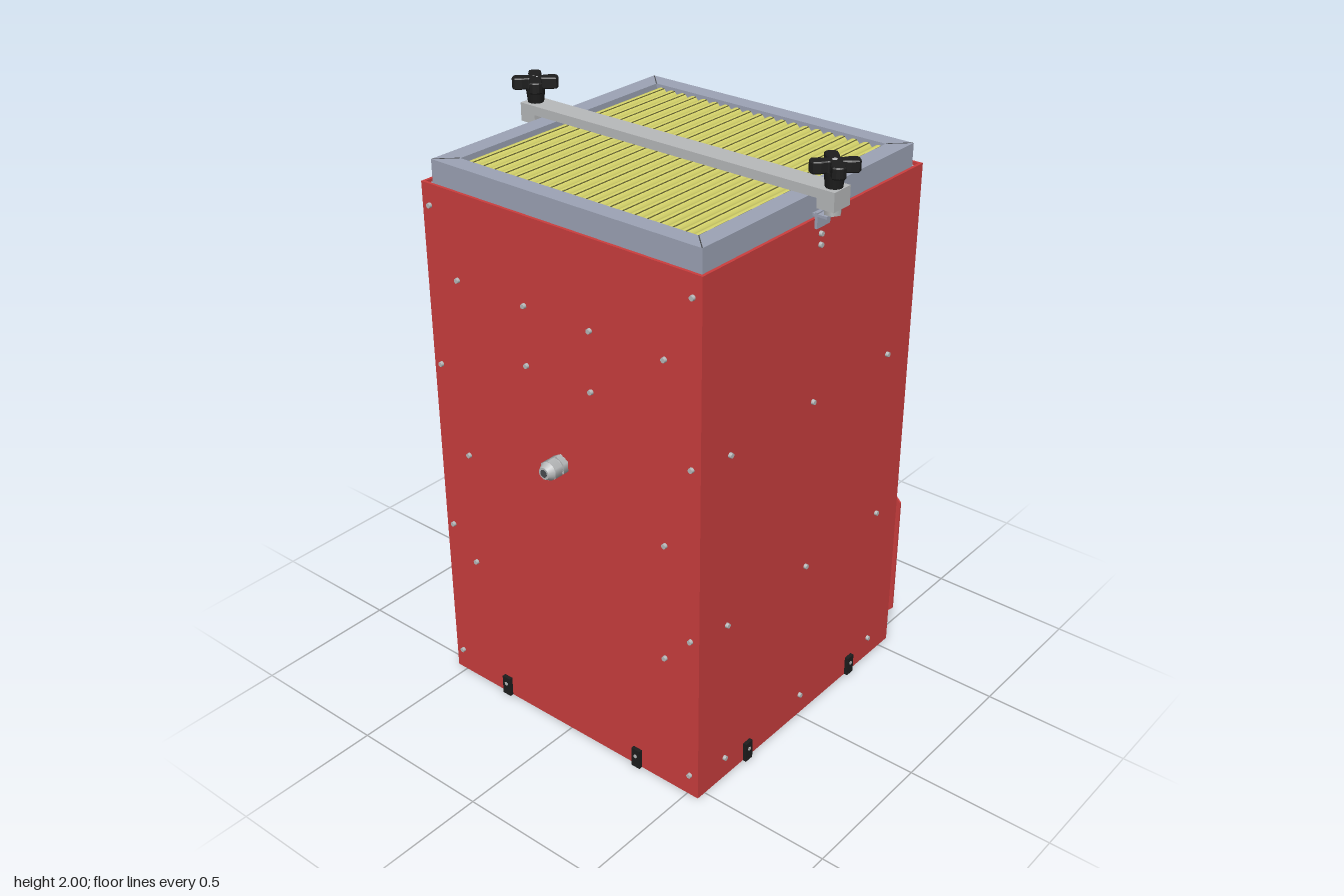
import * as THREE from 'three';

const mat = (name, color) => {
  const m = new THREE.MeshStandardMaterial({ color });
  m.name = name;
  return m;
};

export function createModel() {
  const red = mat('red paint', 0xcc3e3e);
  const steel = mat('blue grey steel', 0x9da4b6);
  const grey = mat('light grey metal', 0xb8babb);
  const black = mat('black plastic', 0x1d1d1d);
  const yellow = mat('yellow filter paper', 0xd8d66c);
  const olive = mat('filter fold', 0x6e6c36);
  const brass = mat('brass', 0xb9b24e);
  const dark = mat('dark grey', 0x4a4c50);

  const CX = 0.009, W = 1.088, D = 1.084, H = 1.82;
  const root = new THREE.Group();
  root.name = 'filterCabinet';

  const add = (name, geo, m, x = 0, y = 0, z = 0, parent = root) => {
    const mesh = new THREE.Mesh(geo, m);
    mesh.name = name;
    mesh.position.set(x, y, z);
    parent.add(mesh);
    return mesh;
  };
  const box = (name, m, w, h, d, x, y, z, parent) =>
    add(name, new THREE.BoxGeometry(w, h, d), m, x, y, z, parent);
  const cyl = (name, m, r1, r2, h, seg, x, y, z, parent) =>
    add(name, new THREE.CylinderGeometry(r1, r2, h, seg), m, x, y, z, parent);
  const rect = (P, w, d) => {
    const s = new P();
    s.moveTo(-w / 2, -d / 2);
    s.lineTo(w / 2, -d / 2);
    s.lineTo(w / 2, d / 2);
    s.lineTo(-w / 2, d / 2);
    s.closePath();
    return s;
  };
  // Rectangular ring standing on y
  const ring = (name, m, w, d, iw, id, h, y) => {
    const s = rect(THREE.Shape, w, d);
    s.holes.push(rect(THREE.Path, iw, id));
    const g = new THREE.ExtrudeGeometry(s, { depth: h, bevelEnabled: false });
    g.rotateX(-Math.PI / 2);
    return add(name, g, m, CX, y, 0);
  };
  // Group whose +z points out of a cabinet side; local x runs along the side
  const side = (name, angle) => {
    const g = new THREE.Group();
    g.name = name;
    const s = Math.round(Math.sin(angle)), c = Math.round(Math.cos(angle));
    g.position.set(CX + s * W / 2, 0, c * D / 2);
    g.rotation.y = angle;
    root.add(g);
    return g;
  };
  const screw = (parent, x, y, z = 0) => {
    cyl('screw', grey, 0.008, 0.009, 0.012, 10, x, y, z + 0.004, parent).rotation.x = Math.PI / 2;
  };

  // Cabinet walls, bottom flange and top flange
  ring('cabinetWalls', red, W, D, W - 0.02, D - 0.02, H, 0);
  ring('bottomFlange', red, W - 0.01, D - 0.01, 0.9, 0.9, 0.008, 0.001);
  ring('topFlange', steel, W - 0.02, D - 0.02, 0.9, 0.9, 0.01, 1.8);

  // Top filter: frame with mitred corners and folded paper
  ring('filterFrame', steel, 1.036, 1.04, 0.914, 0.914, 0.14, 1.747);
  for (const sx of [-1, 1]) for (const sz of [-1, 1]) {
    const seam = box('mitreSeam', dark, 0.084, 0.002, 0.003, CX + sx * 0.487, 1.887, sz * 0.488);
    seam.rotation.y = -sx * sz * Math.PI / 4;
  }
  box('filterBacking', olive, 0.92, 0.02, 0.92, CX, 1.84, 0);
  const folds = 20, pitch = 0.914 / folds;
  const foldGeo = new THREE.CylinderGeometry(pitch * 0.47, pitch * 0.47, 0.914, 12, 1, false);
  foldGeo.rotateZ(Math.PI / 2);
  for (let i = 0; i < folds; i++) {
    const z = -0.457 + (i + 0.5) * pitch;
    add('filterFold', foldGeo, yellow, CX, 1.856, z);
    box('filterCrease', olive, 0.914, 0.004, 0.003, CX, 1.875, z + pitch * 0.2);
  }

  // Underside: recessed frame, louvres and inner panel
  ring('lowerFrame', steel, W - 0.03, D - 0.03, 0.8, 0.8, 0.04, 0.12);
  box('lowerBacking', dark, 1.0, 0.01, 1.0, CX, 0.19, 0);
  box('innerPanel', steel, 0.98, 0.11, 0.02, CX, 0.066, 0.46);
  for (let i = 0; i < 9; i++) {
    const z = -0.36 + i * 0.09;
    const louvre = box('louvre', grey, 0.86, 0.008, 0.05, CX, 0.155, z);
    louvre.rotation.x = 0.35;
  }

  // Clamp bar with a knob, bolt and bracket at each end
  box('clampBar', grey, 0.08, 0.03, 1.22, 0.01, 1.903, 0);
  const lobes = new THREE.Shape();
  const n = 48;
  for (let i = 0; i <= n; i++) {
    const a = (i / n) * Math.PI * 2;
    const r = 0.047 + 0.025 * Math.tanh(-2.2 * Math.cos(4 * a));
    const px = r * Math.cos(a), py = r * Math.sin(a);
    if (i === 0) lobes.moveTo(px, py);
    else lobes.lineTo(px, py);
  }
  const lobeGeo = new THREE.ExtrudeGeometry(lobes, {
    depth: 0.029, bevelEnabled: true, bevelSize: 0.003, bevelThickness: 0.004, bevelSegments: 1,
  });
  lobeGeo.rotateX(-Math.PI / 2);
  for (const s of [-1, 1]) {
    const g = new THREE.Group();
    g.name = s > 0 ? 'frontClamp' : 'backClamp';
    g.position.set(0.01, 0, s * 0.58);
    root.add(g);
    add('knobHead', lobeGeo, black, 0, 1.967, 0, g);
    cyl('knobHub', black, 0.032, 0.026, 0.05, 20, 0, 1.942, 0, g);
    cyl('knobCap', grey, 0.01, 0.01, 0.002, 16, 0, 1.999, 0, g);
    box('barEnd', grey, 0.08, 0.06, 0.06, 0, 1.887, 0, g);
    cyl('bolt', grey, 0.014, 0.014, 0.06, 12, 0, 1.866, 0, g);
    cyl('nut', grey, 0.027, 0.027, 0.02, 6, 0, 1.846, 0, g);
    box('bracketShelf', steel, 0.066, 0.008, 0.05, 0, 1.832, -s * 0.022, g);
    box('bracketPlate', steel, 0.066, 0.05, 0.01, 0, 1.815, -s * 0.034, g);
  }

  // The four sides with their rivets and black floor clips
  const front = side('frontSide', 0);
  const left = side('leftSide', Math.PI / 2);
  const back = side('backSide', Math.PI);
  const right = side('rightSide', -Math.PI / 2);
  for (const s of [front, back, left, right]) for (const x of [-0.292, 0.292]) {
    box('floorClip', black, 0.034, 0.062, 0.014, x, 0.04, 0.006, s);
    box('floorClipFoot', black, 0.034, 0.008, 0.07, x, 0.004, -0.022, s);
    cyl('floorClipHole', grey, 0.007, 0.007, 0.003, 10, x, 0.045, 0.0135, s).rotation.x = Math.PI / 2;
  }
  for (const s of [front, back]) {
    for (const x of [-0.41, 0, 0.41]) for (const y of [1.21, 0.605, 0.08]) screw(s, x, y);
    for (const y of [1.765, 1.73]) screw(s, 0, y);
  }
  for (const x of [-0.41, 0, 0.41]) screw(left, x, 1.21);
  for (const x of [-0.51, 0.51]) for (const y of [1.75, 1.21, 0.605, 0.08]) screw(right, x, y);
  for (const x of [-0.13, 0.13]) for (const y of [1.53, 1.33]) screw(right, x, y);
  for (const x of [-0.41, 0.41]) for (const y of [1.53, 0.91, 0.495]) screw(right, x, y);

  // Small cover plate on the back
  box('backCover', red, 0.125, 0.28, 0.008, -0.47, 0.83, 0.004, back);
  for (const y of [0.935, 0.71]) screw(back, -0.47, y, 0.008);

  // Access door with cut corners, gasket and wing nuts
  const dw = 0.543, y0 = 0.1, y1 = 0.585, c = 0.02;
  const door = new THREE.Shape([
    [-dw + c, y0], [dw - c, y0], [dw, y0 + c], [dw, y1 - c],
    [dw - c, y1], [-dw + c, y1], [-dw, y1 - c], [-dw, y0 + c],
  ].map(([x, y]) => new THREE.Vector2(x, y)));
  add('accessDoor', new THREE.ExtrudeGeometry(door, { depth: 0.007, bevelEnabled: false }), red, 0, 0, 0.023, left);
  box('doorGasket', steel, 0.92, 0.33, 0.022, 0, 0.34, 0.012, left);
  box('doorLip', steel, 0.65, 0.012, 0.018, 0, 0.586, 0.011, left);
  for (const x of [-0.41, 0, 0.41]) for (const y of [0.46, 0.22]) screw(left, x, y, 0.03);
  for (const x of [-0.328, 0.328]) for (const y of [0.555, 0.13]) {
    const g = new THREE.Group();
    g.name = 'wingNut';
    g.position.set(x, y, 0);
    left.add(g);
    cyl('stud', brass, 0.008, 0.008, 0.066, 10, 0, 0, 0.033, g).rotation.x = Math.PI / 2;
    cyl('nutBody', brass, 0.013, 0.018, 0.02, 12, 0, 0, 0.04, g).rotation.x = Math.PI / 2;
    for (const s of [-1, 1]) {
      box('nutWing', brass, 0.018, 0.01, 0.014, s * 0.016, 0.006, 0.048, g).rotation.z = s * 0.5;
      box('nutFoot', brass, 0.014, 0.01, 0.01, s * 0.014, -0.01, 0.036, g).rotation.z = -s * 0.5;
    }
  }

  // Round port
  const port = [[0, 0.044], [0.084, 0.044], [0.098, 0.042], [0.104, 0.036], [0.104, 0.018], [0.09, 0.014], [0.09, 0]]
    .reverse().map(([r, h]) => new THREE.Vector2(r, h));
  const portGeo = new THREE.LatheGeometry(port, 48);
  portGeo.rotateX(Math.PI / 2);
  add('roundPort', portGeo, grey, 0.397, 0.82, 0, left);
  add('portGroove', new THREE.RingGeometry(0.085, 0.087, 48), dark, 0.397, 0.82, 0.0455, left);
  for (const x of [0.302, 0.492]) for (const y of [0.94, 0.7]) screw(left, x, y);

  // Cable gland
  const gland = new THREE.Group();
  gland.name = 'cableGland';
  gland.position.set(0, 1.037, 0);
  gland.rotation.x = Math.PI / 2;
  right.add(gland);
  cyl('glandNut', grey, 0.034, 0.034, 0.02, 6, 0, 0.014, 0, gland);
  cyl('glandNeck', grey, 0.026, 0.026, 0.06, 20, 0, 0.03, 0, gland);
  cyl('glandCap', grey, 0.034, 0.034, 0.03, 6, 0, 0.046, 0, gland);
  cyl('glandTip', grey, 0.02, 0.031, 0.02, 20, 0, 0.071, 0, gland);
  cyl('glandOpening', dark, 0.013, 0.013, 0.003, 16, 0, 0.081, 0, gland);

  return root;
}
